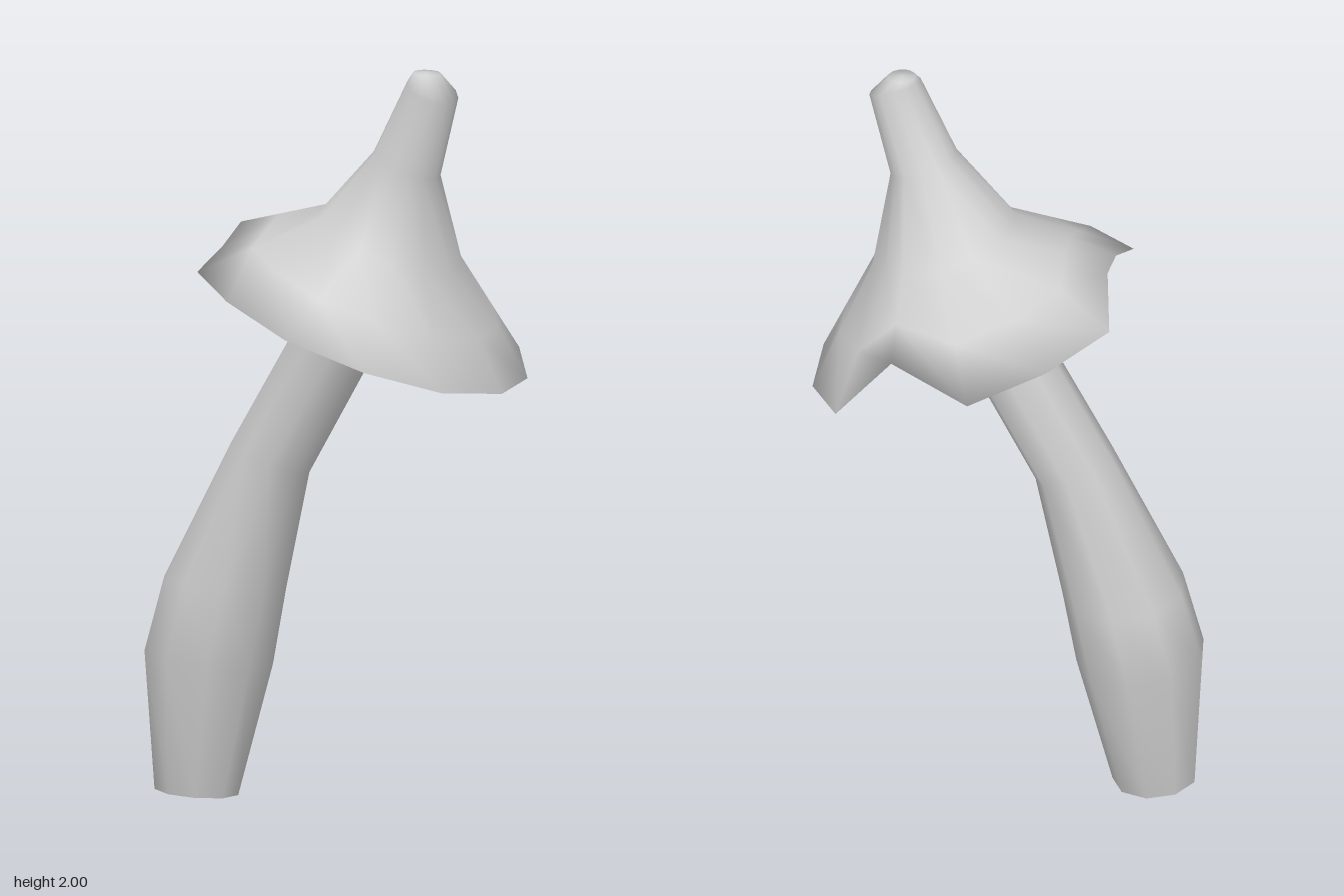
import * as THREE from 'three';

const material = new THREE.MeshStandardMaterial({ color: 0xcccccc, side: THREE.DoubleSide });

// Skin a list of closed rings (bottom to top, angles decreasing) with smooth normals
function loft(name, rings) {
  const n = rings[0].length;
  const index = [];
  for (let j = 0; j < rings.length - 1; j++) {
    for (let i = 0; i < n; i++) {
      const k = (i + 1) % n;
      const a = j * n + i, b = j * n + k, c = a + n, d = b + n;
      index.push(a, b, c, b, d, c);
    }
  }
  const geometry = new THREE.BufferGeometry();
  geometry.setAttribute('position', new THREE.Float32BufferAttribute(rings.flat(2), 3));
  geometry.setIndex(index);
  geometry.computeVertexNormals();
  const mesh = new THREE.Mesh(geometry, material);
  mesh.name = name;
  return mesh;
}

// Ring around a centre, tilted by the slopes sx and sz
function ring([x, y, z, r, sx = 0, sz = 0], angles) {
  return angles.map((a) => {
    const dx = r * Math.cos(a), dz = r * Math.sin(a);
    return [x + dx, y + dx * sx + dz * sz, z + dz];
  });
}

// Ring part of the way from one ring to another, lowered by drop
function between(from, to, t, drop = 0) {
  return from.map((p, i) => p.map((v, k) =>
    v + (to[i][k] - v) * t - (k === 1 ? drop : 0)));
}

export function createModel() {
  const group = new THREE.Group();
  group.name = 'mushroom';

  // Leaning stem, thick near the foot: x, y, z, radius, slopes
  const stemAngles = Array.from({ length: 9 }, (_, i) => Math.PI - 0.2 - i * Math.PI * 2 / 9);
  const stemRings = [
    [-0.38, 0.008, -0.2, 0.112, -0.07, 0],
    [-0.346, 0.375, -0.183, 0.172, -0.1, -0.03],
    [-0.302, 0.575, -0.168, 0.163, -0.1, 0.03],
    [-0.179, 0.925, -0.105, 0.104, -0.4, -0.12],
    [0.01, 1.28, -0.005, 0.102, -0.4, -0.15],
    [0.115, 1.53, 0.055, 0.085, -0.4, -0.15],
  ].map((p) => ring(p, stemAngles));
  group.add(loft('stem', stemRings));

  // Flat underside of the foot
  const footCentre = stemAngles.map(() => [-0.38, 0.008, -0.2]);
  group.add(loft('stemFoot', [footCentre, stemRings[0]]));

  // Wavy brim of the cap
  const rim = [
    [-0.36, 1.45, 0.11], [-0.27, 1.405, 0.31], [-0.11, 1.325, 0.43], [0.1, 1.245, 0.46],
    [0.3, 1.18, 0.385], [0.45, 1.15, 0.215], [0.505, 1.155, 0], [0.47, 1.2, -0.22],
    [0.33, 1.385, -0.285], [0.15, 1.35, -0.465], [-0.06, 1.42, -0.44],
    [-0.245, 1.46, -0.315], [-0.26, 1.54, -0.15], [-0.3, 1.5, 0],
  ];
  const capAngles = rim.map(([x, , z]) => Math.atan2(z, x - 0.07));

  // Ceiling inside the cap, then shoulder, neck and blunt tip outside
  const [centre, ceiling, shoulder, ...upper] = [
    [0.13, 1.49, 0.06, 0],
    [0.13, 1.49, 0.06, 0.14, -0.35, -0.18],
    [0.148, 1.54, 0.07, 0.19, -0.35, -0.18],
    [0.195, 1.75, 0.127, 0.088, -0.35, -0.2],
    [0.265, 1.955, 0.18, 0.068, -0.3, -0.35],
    [0.25, 1.997, 0.16, 0.037, -0.05, -0.05],
    [0.25, 2, 0.16, 0],
  ].map((p) => ring(p, capAngles));

  // Thin closed shell: underside out to the brim, then up over the top
  const middle = between(shoulder, rim, 0.55);
  const underside = between(middle, rim, 0, 0.035);
  group.add(loft('cap', [centre, ceiling, underside, rim, middle, shoulder, ...upper]));

  return group;
}
